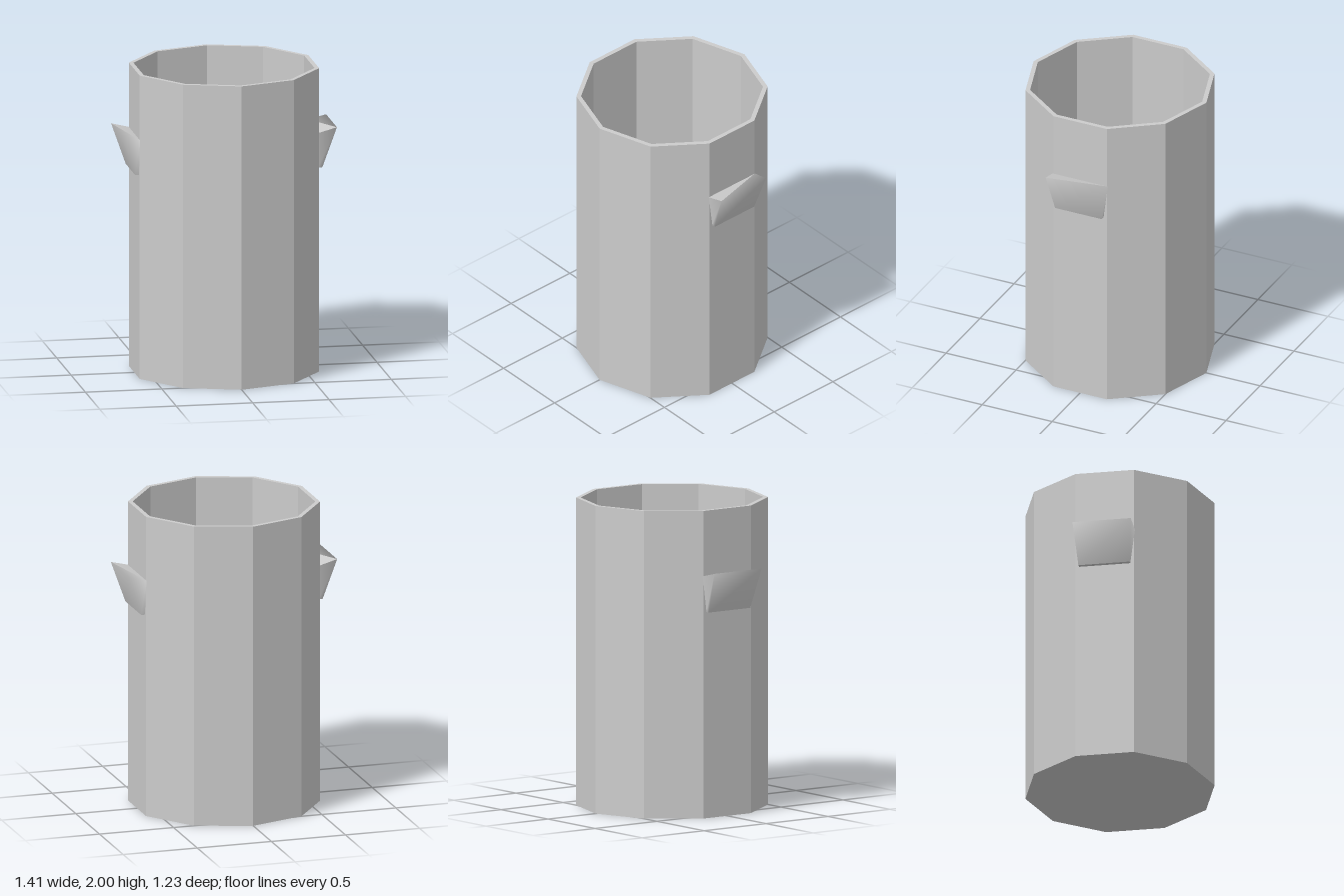
import * as THREE from 'three';

const R = 0.617, WALL = 0.03, HEIGHT = 2, SIDES = 10;

// Corners of one lug: wall top, outer rim, outer bottom, wall bottom (near +z, far -z)
function lugCorners() {
  const rows = [[0.585, 1.575, 0.197], [0.703, 1.605, 0.19], [0.612, 1.34, 0.167], [0.585, 1.34, 0.167]];
  return rows.flatMap(([x, y, z]) => [x, y, z, x, y, -z]);
}

function faces(index, flat) {
  let g = new THREE.BufferGeometry();
  g.setAttribute('position', new THREE.Float32BufferAttribute(lugCorners(), 3));
  g.setIndex(index);
  if (flat) g = g.toNonIndexed();
  g.computeVertexNormals();
  return g;
}

export function createModel() {
  const model = new THREE.Group();
  const flat = new THREE.MeshStandardMaterial({ color: 0xcccccc, flatShading: true });
  const smooth = new THREE.MeshStandardMaterial({ color: 0xcccccc, side: THREE.DoubleSide });

  // Ten-sided open container with a thin wall and floor
  const profile = [
    [0, 0], [R, 0], [R, HEIGHT], [R - WALL, HEIGHT], [R - WALL, WALL], [0, WALL],
  ].map(([x, y]) => new THREE.Vector2(x, y));
  const body = new THREE.Mesh(new THREE.LatheGeometry(profile, SIDES), flat);
  body.name = 'body';
  model.add(body);

  // Softly shaded shell: half of the top, outer face, both ends
  const shell = faces([2, 3, 1, 4, 5, 3, 4, 3, 2, 6, 4, 2, 6, 2, 0, 5, 7, 1, 5, 1, 3], false);
  // Crisp caps: other half of the top, underside
  const caps = faces([0, 2, 1, 6, 7, 5, 6, 5, 4], true);

  // One lug on each side, turned half a circle
  ['leftHandle', 'rightHandle'].forEach((name, i) => {
    const handle = new THREE.Group();
    handle.name = name;
    const shellMesh = new THREE.Mesh(shell, smooth);
    shellMesh.name = 'handleShell';
    const capMesh = new THREE.Mesh(caps, flat);
    capMesh.name = 'handleCaps';
    handle.add(shellMesh, capMesh);
    handle.rotation.y = i * Math.PI;
    model.add(handle);
  });

  return model;
}
